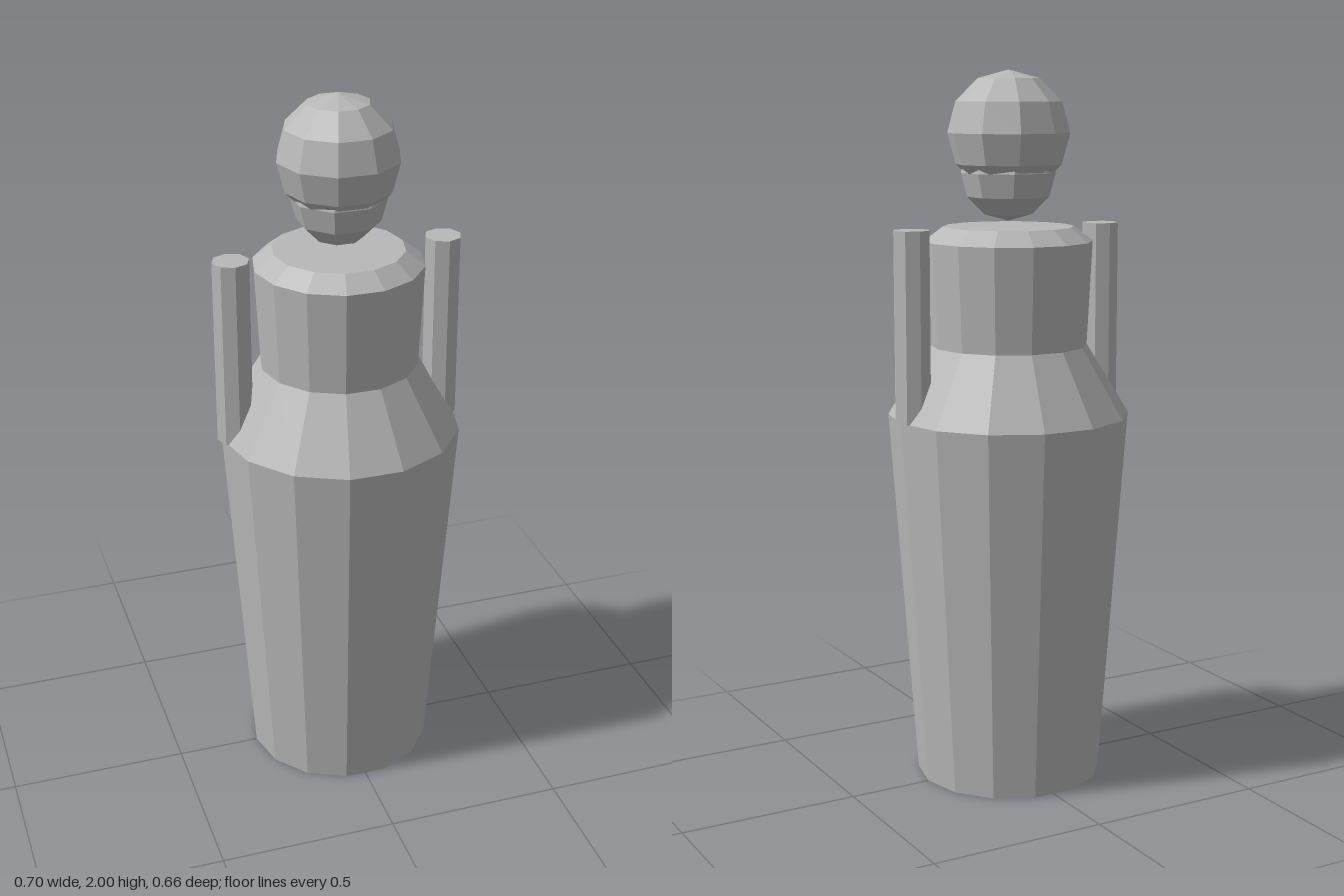
import * as THREE from 'three';

export function createModel() {
  const model = new THREE.Group();
  const grey = new THREE.MeshStandardMaterial({ color: 0xb8b8b8, flatShading: true });
  grey.name = 'plain grey';

  const add = (name, geometry, x, y) => {
    const mesh = new THREE.Mesh(geometry, grey);
    mesh.name = name;
    mesh.position.set(x, y, 0);
    model.add(mesh);
    return mesh;
  };

  // Robe and chest: one 14-sided turned profile, closed at both ends
  const profile = [
    [0, 0], [0.263, 0], [0.339, 1.05], [0.22, 1.245],
    [0.235, 1.535], [0.182, 1.575], [0, 1.575],
  ].map(([r, y]) => new THREE.Vector2(r, y));
  const body = add('body', new THREE.LatheGeometry(profile, 14), 0, 0);
  body.rotation.y = Math.PI / 14;

  // Upright arms
  for (const [name, side] of [['leftArm', 1], ['rightArm', -1]]) {
    add(name, new THREE.CylinderGeometry(0.0515, 0.0515, 0.525, 8), side * 0.3, 1.3125);
  }

  // Head, with a smaller faceted jaw showing below it
  add('head', new THREE.SphereGeometry(0.17, 10, 6), 0, 1.83);
  const jaw = add('jaw', new THREE.SphereGeometry(0.132, 8, 6), 0, 1.722);
  jaw.rotation.y = Math.PI / 8;

  return model;
}
